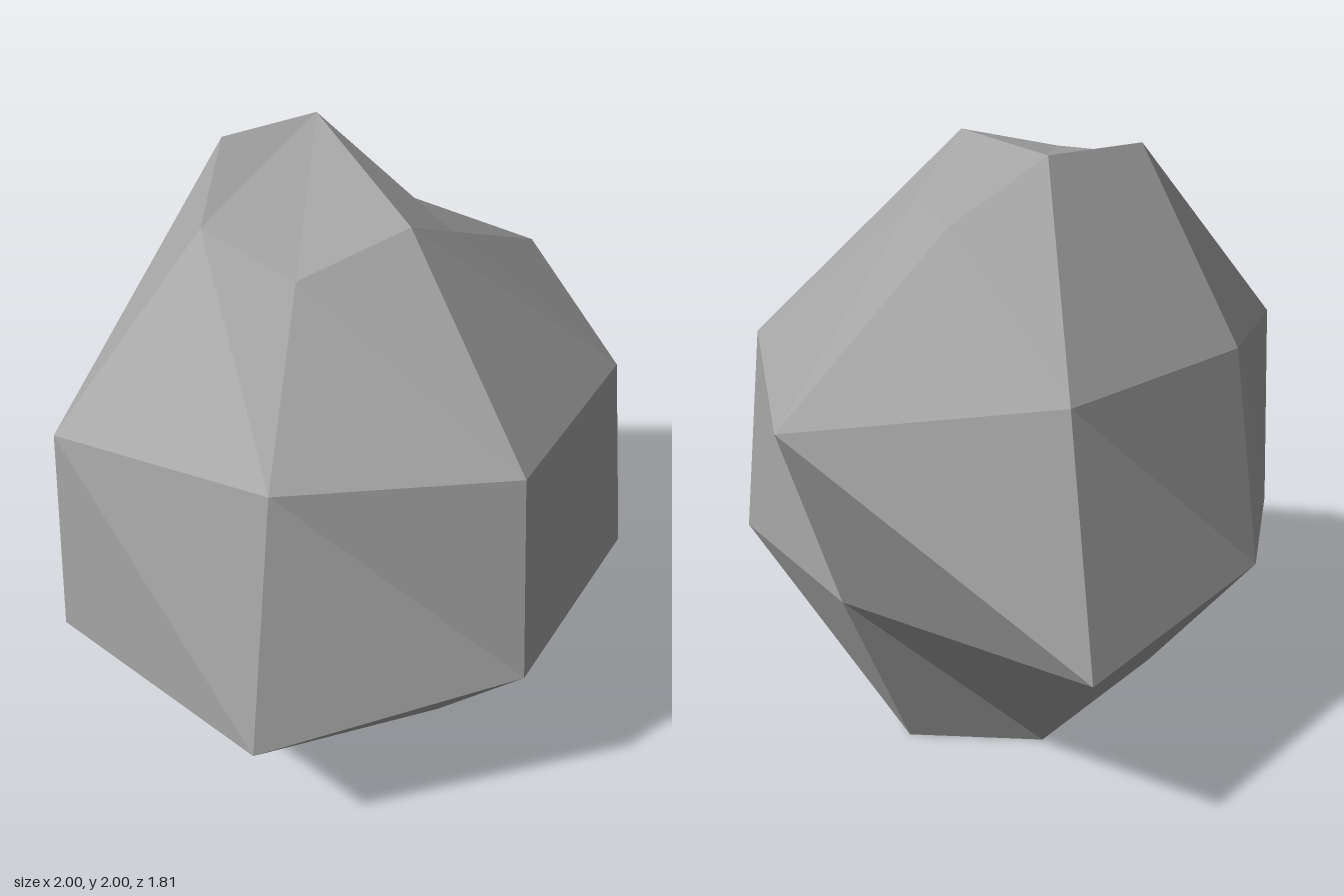
import * as THREE from 'three';

export function createModel() {
  const group = new THREE.Group();
  group.name = 'boulder';
  const stone = new THREE.MeshStandardMaterial({ color: 0xa3a3a3, flatShading: true });
  stone.name = 'stone grey';

  // Four uneven seven-sided rings, bottom to top, each running from +x towards +z
  const rings = [
    [[0.49, 0, -0.04], [0.33, 0.22, 0.48], [-0.22, 0.14, 0.51], [-0.55, 0.01, 0.18],
      [-0.55, 0.15, -0.26], [-0.17, 0.21, -0.56], [0.21, 0, -0.4]],
    [[0.77, 0.64, -0.04], [0.52, 0.56, 0.73], [-0.3, 0.61, 0.9], [-1, 0.48, 0.39],
      [-1, 0.51, -0.48], [-0.28, 0.66, -0.89], [0.6, 0.62, -0.91]],
    [[1, 1.29, -0.04], [0.47, 1.3, 0.67], [-0.3, 1.37, 0.85], [-0.78, 1.31, 0.29],
      [-0.95, 1.27, -0.46], [-0.26, 1.39, -0.78], [0.38, 1.34, -0.63]],
    [[0.27, 1.75, -0.04], [0.14, 1.77, 0.23], [-0.17, 1.94, 0.31], [-0.5, 1.85, 0.16],
      [-0.49, 1.88, -0.23], [-0.18, 2, -0.44], [0.15, 2, -0.34]],
  ];
  const n = 7;
  const positions = [];
  const face = (a, b, c) => positions.push(...a, ...b, ...c);

  // Side bands, each quad split along the same diagonal
  for (let r = 0; r < rings.length - 1; r++) {
    const low = rings[r], high = rings[r + 1];
    for (let i = 0; i < n; i++) {
      const j = (i + 1) % n;
      face(low[j], low[i], high[j]);
      face(low[i], high[i], high[j]);
    }
  }

  // Crown: a fan from its highest corner, dipping into the notch on the left
  const top = rings[3], base = rings[0];
  for (let i = 0; i < n - 2; i++) face(top[6], top[i + 1], top[i]);

  // Underside: resting triangle with chamfers rising to the front and back
  for (const [a, b, c] of [[0, 1, 2], [0, 2, 3], [0, 3, 6], [3, 4, 6], [4, 5, 6]]) {
    face(base[a], base[b], base[c]);
  }

  const geometry = new THREE.BufferGeometry();
  geometry.setAttribute('position', new THREE.Float32BufferAttribute(positions, 3));
  geometry.computeVertexNormals();
  const rock = new THREE.Mesh(geometry, stone);
  rock.name = 'rock';
  group.add(rock);
  return group;
}
